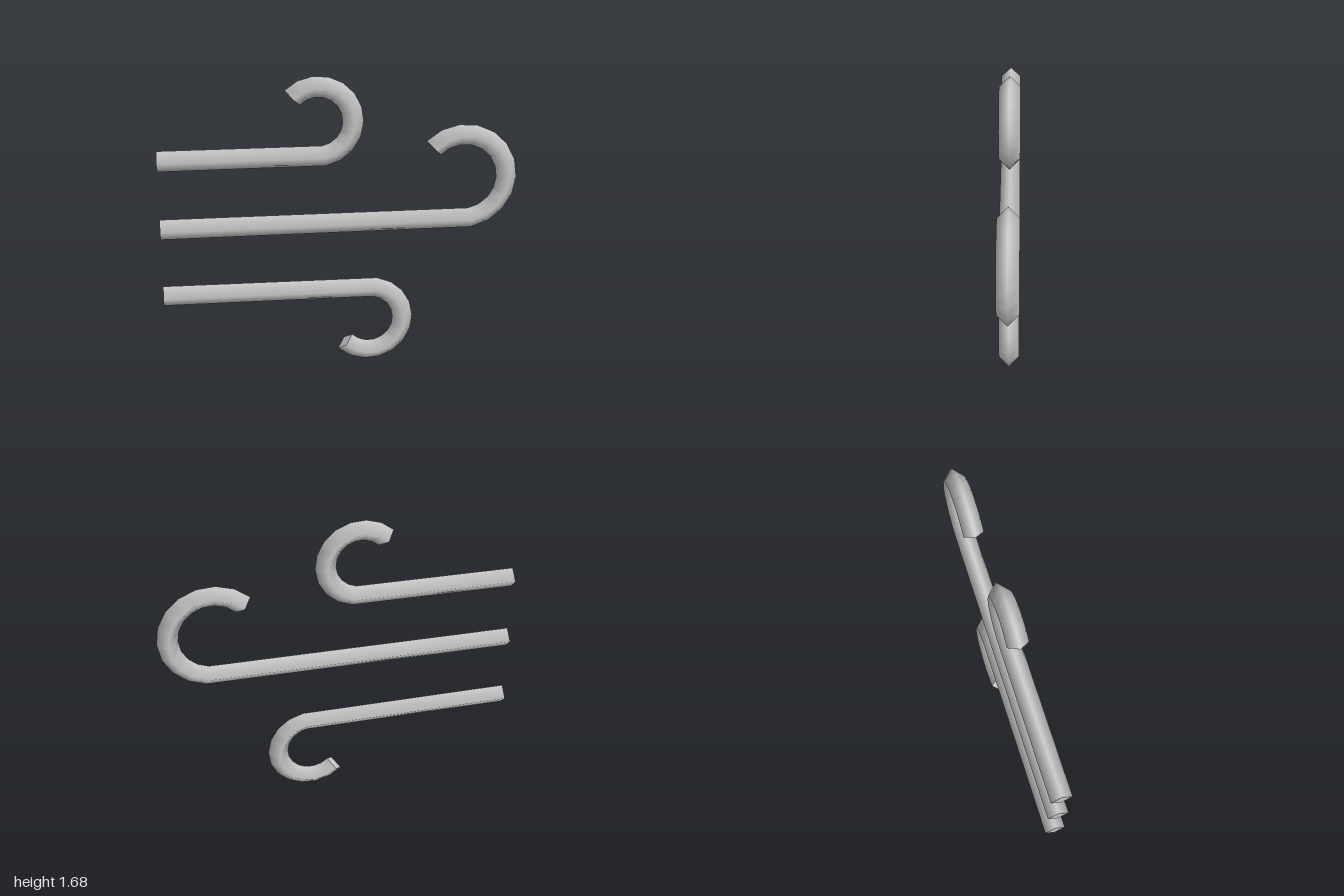
import * as THREE from 'three';

const RADIUS = 0.058;   // half diagonal of the diamond section
const STEPS = 11;       // segments around the hook
const START = -80 * Math.PI / 180;
const END = 135 * Math.PI / 180;

// Straight run from x = -1 followed by an arc; dir = 1 curls up, -1 curls down
class HookCurve extends THREE.Curve {
  constructor(cx, cy, r, dir) {
    super();
    Object.assign(this, { cx, cy, r, dir });
  }
  angle(u) {
    const i = u * (STEPS + 1) - 1;
    return START + (END - START) * i / STEPS;
  }
  getPointAt(u, target = new THREE.Vector3()) {
    if (u === 0) return target.set(-1, this.cy - this.dir * this.r, 0);
    const a = this.angle(u);
    return target.set(this.cx + this.r * Math.cos(a), this.cy + this.dir * this.r * Math.sin(a), 0);
  }
  getTangentAt(u, target = new THREE.Vector3()) {
    if (u === 0) return target.set(1, 0, 0);
    const a = this.angle(u);
    return target.set(-Math.sin(a), this.dir * Math.cos(a), 0);
  }
}

function makeGust(name, material, cx, cy, r, dir) {
  const gust = new THREE.Group();
  gust.name = name;
  const curve = new HookCurve(cx, cy, r, dir);

  const tube = new THREE.Mesh(new THREE.TubeGeometry(curve, STEPS + 1, RADIUS, 4, false), material);
  tube.name = name + 'Tube';
  gust.add(tube);

  // Flat diamond caps on both ends
  for (const [u, sign, label] of [[0, -1, 'StartCap'], [1, 1, 'EndCap']]) {
    const cap = new THREE.Mesh(new THREE.CircleGeometry(RADIUS, 4), material);
    cap.name = name + label;
    cap.position.copy(curve.getPointAt(u));
    cap.lookAt(cap.position.clone().addScaledVector(curve.getTangentAt(u), sign));
    gust.add(cap);
  }
  return gust;
}

export function createModel() {
  const grey = new THREE.MeshStandardMaterial({ color: 0xcccccc });
  grey.name = 'light grey';

  const model = new THREE.Group();
  model.name = 'windSymbol';
  model.add(
    makeGust('upperGust', grey, -0.123, 1.427, 0.195, 1),
    makeGust('middleGust', grey, 0.697, 1.087, 0.245, 1),
    makeGust('lowerGust', grey, 0.167, 0.253, 0.195, -1)
  );
  return model;
}
